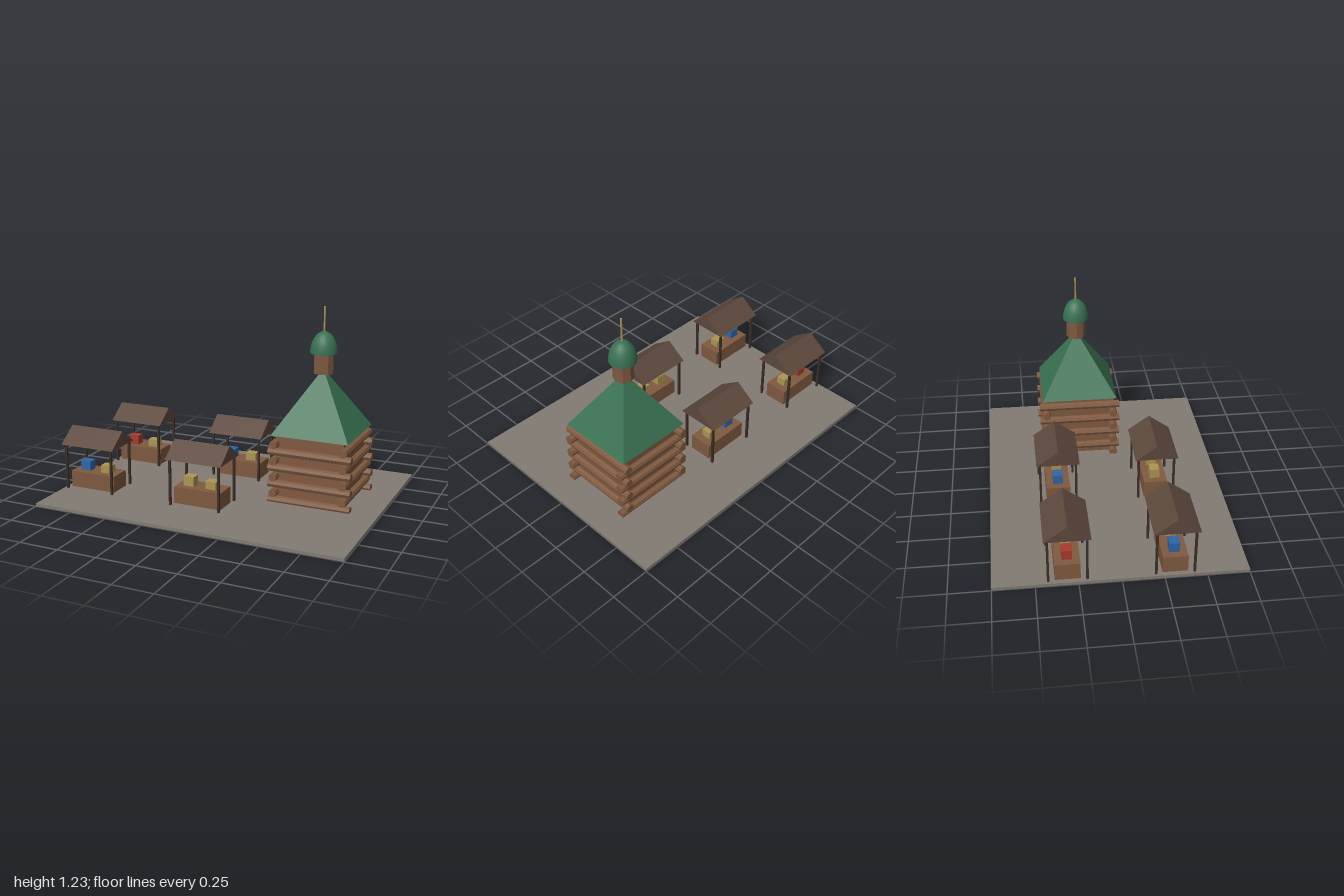
import * as THREE from 'three';

const mat = (name, color) => {
  const m = new THREE.MeshStandardMaterial({ color });
  m.name = name;
  return m;
};

export function createModel() {
  const paving = mat('paving grey', 0x817b72);
  const wood = mat('log brown', 0x7f593f);
  const shingle = mat('stall roof brown', 0x5c483c);
  const post = mat('dark post', 0x3b2f28);
  const green = mat('roof green', 0x397152);
  const gold = mat('straw gold', 0xab9453);
  const blue = mat('blue goods', 0x2f65a8);
  const red = mat('red goods', 0xa83a2e);
  for (const m of [wood, green]) m.flatShading = true;
  const smoothGreen = green.clone();
  smoothGreen.name = 'dome green';
  smoothGreen.flatShading = false;

  const model = new THREE.Group();
  model.name = 'marketSquare';
  const add = (parent, name, geometry, material, x, y, z) => {
    const mesh = new THREE.Mesh(geometry, material);
    mesh.name = name;
    mesh.position.set(x, y, z);
    parent.add(mesh);
    return mesh;
  };
  const box = (w, h, d) => new THREE.BoxGeometry(w, h, d);

  // Ground slab
  add(model, 'ground', box(2, 0.019, 1.5), paving, 0, 0.0105, 0);

  // Market stalls: counter, four posts, gable roof and two goods each
  const gable = new THREE.Shape([
    new THREE.Vector2(-0.136, 0), new THREE.Vector2(0.136, 0), new THREE.Vector2(0, 0.097),
  ]);
  const roofGeo = new THREE.ExtrudeGeometry(gable, { depth: 0.375, bevelEnabled: false });
  roofGeo.translate(0, 0, -0.1875).rotateY(Math.PI / 2);

  function makeStall(x, z, firstGoods) {
    const stall = new THREE.Group();
    stall.name = 'stall';
    stall.position.set(x, 0, z);
    add(stall, 'counter', box(0.316, 0.126, 0.15), wood, 0, 0.063, 0);
    for (const sx of [-1, 1]) for (const sz of [-1, 1])
      add(stall, 'post', box(0.014, 0.32, 0.014), post, sx * 0.165, 0.16, sz * 0.113);
    add(stall, 'stallRoof', roofGeo, shingle, 0, 0.316, 0);
    add(stall, 'goodsLarge', box(0.07, 0.063, 0.062), firstGoods, -0.078, 0.157, 0);
    add(stall, 'goodsSmall', box(0.07, 0.05, 0.062), gold, 0.072, 0.151, 0);
    model.add(stall);
  }
  makeStall(-0.8125, 0.3125, blue);
  makeStall(-0.0625, 0.3125, gold);
  makeStall(-0.8125, -0.3125, red);
  makeStall(-0.0625, -0.3125, blue);

  // Log tower
  const tower = new THREE.Group();
  tower.name = 'logTower';
  tower.position.set(0.5605, 0, -0.125);
  model.add(tower);
  add(tower, 'towerCore', box(0.424, 0.455, 0.424), wood, 0, 0.2275, 0);

  // Interlocking logs, alternating direction course by course
  const logX = new THREE.CylinderGeometry(0.026, 0.026, 0.535, 8).rotateZ(Math.PI / 2);
  const logZ = new THREE.CylinderGeometry(0.026, 0.026, 0.535, 8).rotateX(Math.PI / 2);
  for (let i = 0; i < 4; i++) for (const s of [-1, 1]) {
    add(tower, 'logAcross', logX, wood, 0, 0.032 + i * 0.104, s * 0.224);
    add(tower, 'logAlong', logZ, wood, s * 0.224, 0.084 + i * 0.104, 0);
  }

  // Pyramid roof, drum, dome and spire
  const pyramid = new THREE.ConeGeometry(0.248 * Math.SQRT2, 0.395, 4).rotateY(Math.PI / 4);
  add(tower, 'towerRoof', pyramid, green, 0, 0.6475, 0);
  add(tower, 'drum', new THREE.CylinderGeometry(0.063, 0.063, 0.13, 8), wood, 0, 0.88, 0);
  const dome = new THREE.SphereGeometry(0.085, 20, 10, 0, Math.PI * 2, 0, Math.PI / 2).scale(1, 1.6, 1);
  add(tower, 'dome', dome, smoothGreen, 0, 0.941, 0);
  const base = new THREE.CircleGeometry(0.085, 20).rotateX(Math.PI / 2);
  add(tower, 'domeBase', base, smoothGreen, 0, 0.941, 0);
  add(tower, 'spire', new THREE.CylinderGeometry(0.006, 0.006, 0.17, 8), gold, 0, 1.145, 0);
  return model;
}
